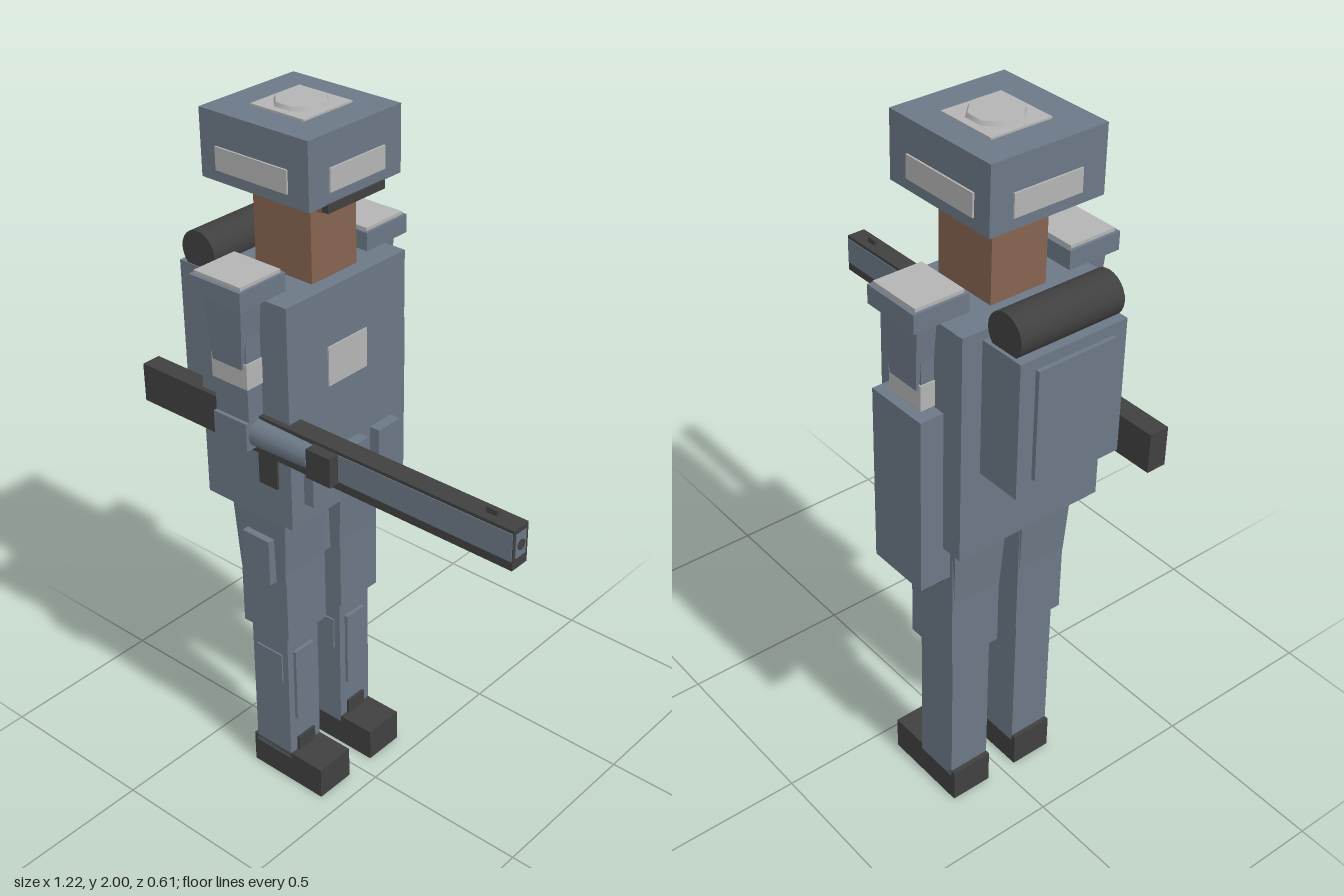
import * as THREE from 'three';

export function createModel() {
  const root = new THREE.Group();
  const mat = (name, color) => new THREE.MeshStandardMaterial({ name, color });
  const cloth = mat('blueGreyCloth', 0x6c7886);
  const dark = mat('charcoal', 0x404040);
  const pale = mat('paleGrey', 0xb4b4b4);
  const skin = mat('brownSkin', 0x866350);

  const add = (name, geo, material, parent = root) => {
    const mesh = new THREE.Mesh(geo, material);
    mesh.name = name;
    parent.add(mesh);
    return mesh;
  };
  // Box given by its limits; taper scales the lower end in x and z
  const box = (name, material, [x0, x1], [y0, y1], [z0, z1], parent = root, taper = [1, 1]) => {
    const g = new THREE.BoxGeometry(x1 - x0, y1 - y0, z1 - z0);
    const p = g.attributes.position;
    for (let i = 0; i < p.count; i++) {
      if (p.getY(i) < 0) p.setXYZ(i, p.getX(i) * taper[0], p.getY(i), p.getZ(i) * taper[1]);
    }
    g.computeVertexNormals();
    g.translate((x0 + x1) / 2, (y0 + y1) / 2, (z0 + z1) / 2);
    return add(name, g, material, parent);
  };
  const group = (name) => {
    const g = new THREE.Group();
    g.name = name;
    root.add(g);
    return g;
  };

  // Head: square helmet with a pale strip on every side
  const head = group('head');
  box('helmet', cloth, [-0.415, -0.065], [1.81, 1.985], [-0.17, 0.16], head);
  box('sideStrips', pale, [-0.363, -0.13], [1.84, 1.9], [-0.175, 0.165], head);
  box('endStrips', pale, [-0.42, -0.06], [1.84, 1.9], [-0.106, 0.09], head);
  box('crownPlate', pale, [-0.327, -0.155], [1.98, 1.99], [-0.097, 0.075], head);
  const crown = add('crownButton', new THREE.CylinderGeometry(0.066, 0.072, 0.012, 8), pale, head);
  crown.geometry.rotateY(Math.PI / 8);
  crown.position.set(-0.241, 1.994, -0.011);
  box('helmetLining', dark, [-0.39, -0.085], [1.804, 1.811], [-0.145, 0.135], head);
  box('brim', dark, [-0.08, -0.06], [1.79, 1.812], [-0.105, 0.1], head);
  box('neck', skin, [-0.33, -0.14], [1.55, 1.806], [-0.09, 0.075], head);
  box('chin', skin, [-0.15, -0.118], [1.76, 1.806], [-0.07, 0.055], head);

  // Torso with chest patch and belt pouches
  const torso = group('torso');
  box('jacket', cloth, [-0.4, -0.097], [0.94, 1.575], [-0.228, 0.215], torso);
  box('chestPatch', pale, [-0.1, -0.093], [1.305, 1.415], [-0.075, 0.07], torso);
  for (const z of [0.125, -0.005, -0.133])
    box('pouch', cloth, [-0.1, -0.065], [1, 1.115], [z - 0.043, z + 0.043], torso);

  // Backpack and bedroll
  const pack = group('backpack');
  box('packBody', cloth, [-0.53, -0.395], [1.18, 1.55], [-0.17, 0.147], pack);
  box('packPocket', cloth, [-0.542, -0.53], [1.22, 1.52], [-0.125, 0.105], pack);
  const roll = add('bedroll', new THREE.CylinderGeometry(0.057, 0.057, 0.305, 24), dark, pack);
  roll.rotation.x = Math.PI / 2;
  roll.position.set(-0.463, 1.59, -0.008);

  // Shoulders and upper arms
  for (const s of [1, -1]) {
    const arm = group(s > 0 ? 'leftArm' : 'rightArm');
    const span = (a, b) => (s > 0 ? [a, b] : [-b, -a]);
    box('shoulderPad', cloth, [-0.328, -0.157], [1.58, 1.63], span(0.15, 0.307), arm);
    box('shoulderPlate', pale, [-0.32, -0.165], [1.63, 1.639], span(0.158, 0.297), arm);
    box('sleeve', cloth, [-0.31, -0.178], [1.4, 1.59], span(0.16, 0.285), arm, [0.75, 0.85]);
    box('upperArm', cloth, [-0.3, -0.187], [1.19, 1.55], span(0.17, 0.266), arm);
    box('armBand', pale, [-0.304, -0.183], [1.345, 1.415], span(0.17, 0.27), arm);
    if (s < 0) {
      box('loweredForearm', cloth, [-0.335, -0.15], [0.835, 1.34], [-0.295, -0.205], arm);
      box('loweredHand', dark, [-0.325, -0.16], [0.822, 0.836], [-0.285, -0.215], arm);
    } else {
      const fore = add('raisedForearm', new THREE.CylinderGeometry(0.033, 0.04, 0.28, 16), cloth, arm);
      fore.rotation.z = -Math.PI / 2;
      fore.position.set(-0.14, 1.21, 0.232);
      box('elbow', cloth, [-0.3, -0.187], [1.17, 1.25], [0.19, 0.277], arm);
      box('raisedHand', dark, [0, 0.078], [1.165, 1.247], [0.19, 0.262], arm);
    }
  }

  // Legs: the same parts twice, side by side
  for (const [name, z] of [['leftLeg', 0], ['rightLeg', -0.217]]) {
    const leg = group(name);
    leg.position.z = z;
    box('hip', cloth, [-0.34, -0.148], [0.72, 0.945], [0.025, 0.19], leg, [0.86, 0.9]);
    box('thigh', cloth, [-0.327, -0.16], [0.525, 0.94], [0.027, 0.18], leg);
    box('thighPocket', cloth, [-0.29, -0.195], [0.715, 0.855], [0.17, 0.207], leg);
    box('shin', cloth, [-0.312, -0.18], [0.08, 0.53], [0.042, 0.165], leg);
    box('shinPad', cloth, [-0.19, -0.17], [0.22, 0.46], [0.068, 0.143], leg);
    box('sidePad', cloth, [-0.295, -0.2], [0.35, 0.45], [0.16, 0.17], leg);
    box('boot', dark, [-0.325, -0.065], [0, 0.1], [0.042, 0.165], leg);
    box('bootTongue', dark, [-0.19, -0.172], [0.09, 0.145], [0.07, 0.138], leg);
  }

  // Long gun held along the left side
  const gun = group('longGun');
  box('gunBody', dark, [-0.61, 0.605], [1.145, 1.255], [0.174, 0.23], gun);
  box('barrelSides', cloth, [0.075, 0.603], [1.17, 1.246], [0.172, 0.232], gun);
  box('muzzlePlate', cloth, [0.6, 0.607], [1.175, 1.24], [0.183, 0.221], gun);
  const bore = add('bore', new THREE.CylinderGeometry(0.014, 0.014, 0.006, 16), dark, gun);
  bore.rotation.z = Math.PI / 2;
  bore.position.set(0.606, 1.207, 0.202);
  box('frontSight', dark, [0.51, 0.54], [1.25, 1.27], [0.197, 0.207], gun);
  box('grip', dark, [-0.203, -0.14], [1.05, 1.15], [0.182, 0.222], gun);

  return root;
}
